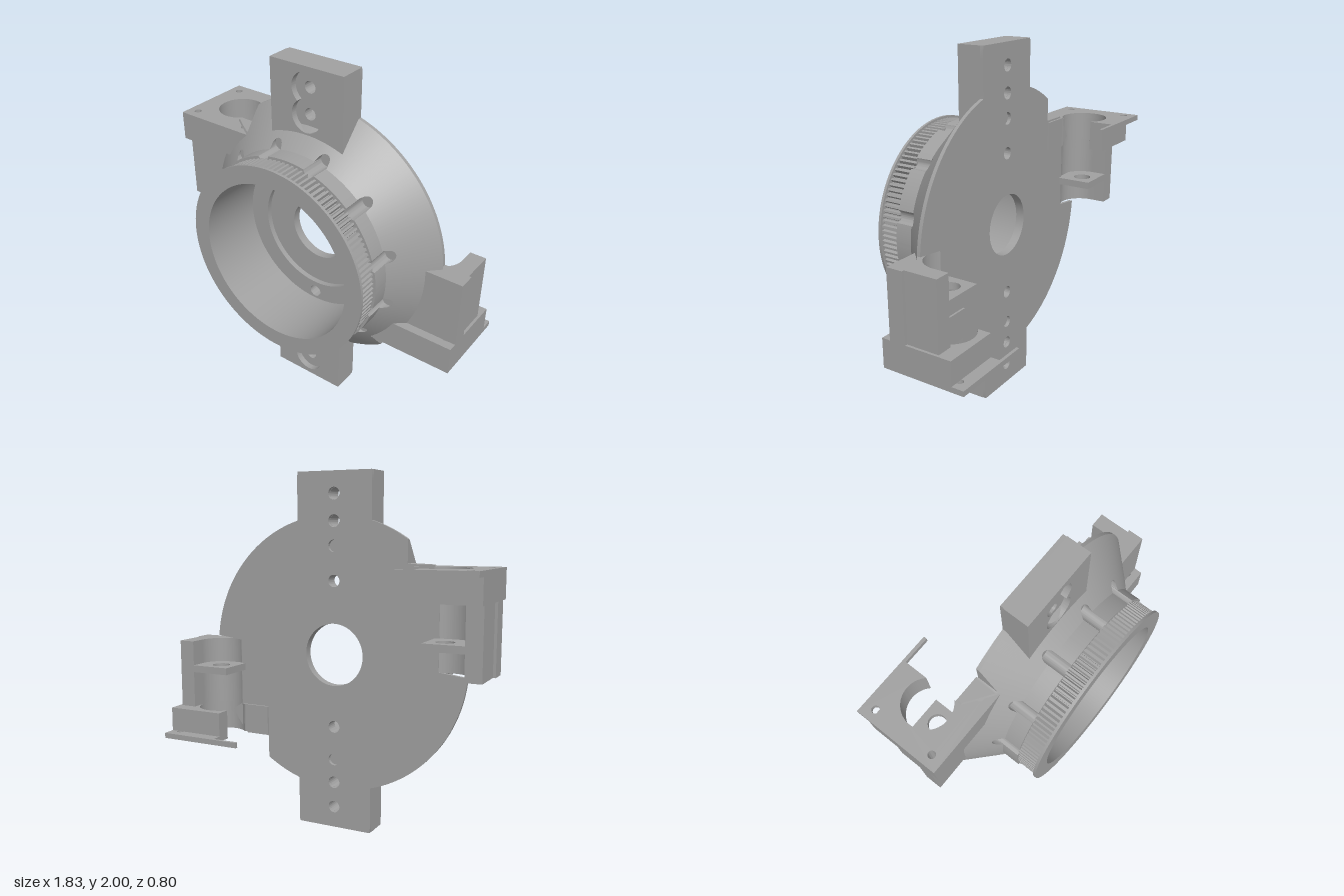
import * as THREE from 'three';
import { toCreasedNormals } from 'three/addons/utils/BufferGeometryUtils.js';

const grey = new THREE.MeshStandardMaterial({ color: 0xa0a0a0 });
grey.name = 'grey plastic';

const mesh = (name, geo) => {
  const m = new THREE.Mesh(toCreasedNormals(geo, 0.5), grey);
  m.name = name;
  return m;
};
const circle = (x, y, r) => new THREE.Path().absarc(x, y, r, 0, Math.PI * 2, false);
const poly = (pts) => new THREE.Shape(pts.map(([x, y]) => new THREE.Vector2(x, y)));
const disc = (r) => new THREE.Shape().absarc(0, 0, r, 0, Math.PI * 2, false);
const withHoles = (shape, ...holes) => { shape.holes.push(...holes); return shape; };

// Extrusion along z between two depths
const plateZ = (shape, z0, z1) =>
  new THREE.ExtrudeGeometry(shape, { depth: z1 - z0, bevelEnabled: false, curveSegments: 48 }).translate(0, 0, z0);
// Extrusion along y; the shape is drawn in (x, -z)
const slabY = (shape, y0, y1) =>
  new THREE.ExtrudeGeometry(shape, { depth: y1 - y0, bevelEnabled: false, curveSegments: 32 })
    .rotateX(-Math.PI / 2).translate(0, y0, 0);

// Surface around z whose (radius, z) profile may change with the angle
function around(profile, n = 720) {
  const pos = [];
  const ring = [];
  for (let i = 0; i <= n; i++) {
    const t = (i / n) * Math.PI * 2;
    ring.push(profile(t).map(([r, z]) => [r * Math.cos(t), r * Math.sin(t), z]));
  }
  for (let i = 0; i < n; i++) {
    for (let j = 0; j < ring[0].length - 1; j++) {
      const a = ring[i][j], b = ring[i + 1][j], c = ring[i][j + 1], d = ring[i + 1][j + 1];
      pos.push(...a, ...c, ...b, ...b, ...c, ...d);
    }
  }
  const g = new THREE.BufferGeometry();
  g.setAttribute('position', new THREE.Float32BufferAttribute(pos, 3));
  return g;
}

// Rim radius with two corner cut-outs
function rimRadius(t) {
  const c = Math.cos(t), s = Math.sin(t);
  if (c * s >= 0) return 0.77;
  return Math.min(0.77, Math.max(0.43 / Math.abs(c), 0.51 / Math.abs(s)));
}

// Back plate radius: rim plus mounting tabs, minus motor notches
function plateRadius(t) {
  const c = Math.abs(Math.cos(t)), s = Math.abs(Math.sin(t));
  const slope = Math.tan(t);
  if (slope < 0.05 / 0.61 && slope > -0.335 / 0.61) return Math.min(0.77, 0.61 / c);
  const tab = Math.min(0.225 / Math.max(c, 1e-6), 1 / s);
  return c < 0.293 ? Math.max(rimRadius(t), tab) : rimRadius(t);
}

// Cone and collar, with twelve round grooves cut from the front
function coneProfile(t) {
  const step = Math.PI / 6;
  const d = (((t % step) + step) % step) - step / 2;
  const k = 0.035 ** 2 - (0.57 * Math.sin(d)) ** 2;
  let rin = 0.56, rout = 0.56, floor = 0.18;
  if (k > 0) {
    const h = Math.sqrt(k), m = 0.57 * Math.cos(d);
    rin = Math.min(0.56, m - h);
    rout = Math.max(0.56, m + h);
    floor = 0.13;
  }
  const R = rimRadius(t);
  return [[0.52, 0.275], [rin, 0.275], [rin, floor], [rout, floor],
    [rout, 0.74 - rout], [R, 0.74 - R], [R, -0.03]];
}

function toothedRing() {
  const pts = [];
  const teeth = 120;
  for (let i = 0; i < teeth; i++) {
    [[0, 0.53], [0.2, 0.548], [0.6, 0.548], [0.8, 0.53]].forEach(([f, r]) => {
      const t = ((i + f) / teeth) * Math.PI * 2;
      pts.push([r * Math.cos(t), r * Math.sin(t)]);
    });
  }
  return plateZ(withHoles(poly(pts), circle(0, 0, 0.5)), 0.27, 0.39);
}

// Upper mounting tab with a figure-eight counterbore
function mountingTab() {
  const g = new THREE.Group();
  const box = () => poly([[-0.225, 0.54], [0.225, 0.54], [0.225, 1], [-0.225, 1]]);
  const a = Math.acos(0.0725 / 0.09);
  const eight = new THREE.Path();
  eight.absarc(0, 0.88, 0.09, -Math.PI / 2 + a, 1.5 * Math.PI - a, false);
  eight.absarc(0, 0.735, 0.09, Math.PI / 2 + a, 2.5 * Math.PI - a, false);
  g.add(mesh('tabBody', plateZ(withHoles(box(), circle(0, 0.88, 0.033), circle(0, 0.735, 0.033)), -0.03, 0.07)));
  g.add(mesh('tabFace', plateZ(withHoles(box(), eight), 0.07, 0.105)));
  return g;
}

// Motor bracket on the +x side
function motorBracket() {
  const g = new THREE.Group();
  const cx = 0.68, cw = 0.16, r = 0.13;

  // Column with a half-round motor pocket
  const column = new THREE.Shape();
  column.moveTo(0.9, 0.25);
  column.lineTo(0.81, 0.25);
  column.lineTo(0.81, cw);
  column.absarc(cx, cw, r, 0, Math.atan2(-0.11, -0.069), true);
  column.lineTo(0.61, -0.035);
  column.lineTo(0.915, -0.035);
  column.lineTo(0.915, 0.06);
  column.lineTo(0.9, 0.06);
  column.closePath();
  g.add(mesh('column', slabY(column, -0.335, 0.05)));

  // Base block and the thin flange beneath it share a pocket open to the inside
  const base = (back) => {
    const s = new THREE.Shape();
    const open = Math.atan2(0.089, -0.095);
    s.moveTo(0.915, -0.085);
    s.lineTo(0.915, back);
    if (back > 0.35) {
      s.lineTo(0.43, back);
      s.lineTo(0.43, back - 0.018);
      s.lineTo(0.585, back - 0.018);
    } else s.lineTo(0.585, back);
    s.lineTo(0.585, 0.249);
    s.absarc(cx, cw, r, open, -open, true);
    s.lineTo(0.585, 0.062);
    s.lineTo(0.43, 0.062);
    s.lineTo(0.43, -0.085);
    s.closePath();
    return withHoles(s, circle(0.855, -0.02, 0.02), circle(0.5, -0.02, 0.02));
  };
  g.add(mesh('baseBlock', slabY(base(0.33), -0.47, -0.335)));
  g.add(mesh('baseFlange', slabY(withHoles(base(0.4), circle(0.855, 0.335, 0.02)), -0.5, -0.47)));

  // Shaft shelf
  const shelf = poly([[0.585, 0.04], [0.82, 0.04], [0.82, 0.25], [0.585, 0.25]]);
  g.add(mesh('shaftShelf', slabY(withHoles(shelf, circle(cx, cw, 0.05)), -0.13, -0.09)));
  return g;
}

export function createModel() {
  const model = new THREE.Group();
  model.name = 'motorHousing';
  const hub = new THREE.Group();
  hub.name = 'hub';
  hub.position.y = 1;
  model.add(hub);

  // Back plate with bore and bolt holes
  const outline = [];
  for (let i = 0; i < 720; i++) {
    const t = (i / 720) * Math.PI * 2, r = plateRadius(t);
    outline.push([r * Math.cos(t), r * Math.sin(t)]);
  }
  const bolts = [0.41, 0.6, 0.735, 0.88].flatMap((y) => [circle(0, y, 0.034), circle(0, -y, 0.034)]);
  hub.add(mesh('backPlate', plateZ(withHoles(poly(outline), circle(0, 0, 0.175), ...bolts), -0.05, -0.03)));

  // Stepped floor of the bowl
  hub.add(mesh('innerFloor', plateZ(withHoles(disc(0.36), circle(0, 0, 0.175)), -0.03, 0)));
  hub.add(mesh('outerFloor', plateZ(
    withHoles(disc(0.47), circle(0, 0, 0.345), circle(0, 0.41, 0.036), circle(0, -0.41, 0.036)), -0.03, 0.03)));

  // Cone, toothed band and front flange with the bore
  hub.add(mesh('coneHousing', around(coneProfile)));
  hub.add(mesh('toothedBand', toothedRing()));
  hub.add(mesh('frontFlange', around(() =>
    [[0.46, 0.02], [0.46, 0.4], [0.56, 0.4], [0.56, 0.385], [0.52, 0.385]], 144)));

  // Tabs and brackets repeat half a turn apart
  ['First', 'Second'].forEach((label, i) => {
    const tab = mountingTab();
    tab.name = 'mountingTab' + label;
    const bracket = motorBracket();
    bracket.name = 'motorBracket' + label;
    tab.rotation.z = bracket.rotation.z = i * Math.PI;
    hub.add(tab, bracket);
  });
  return model;
}
